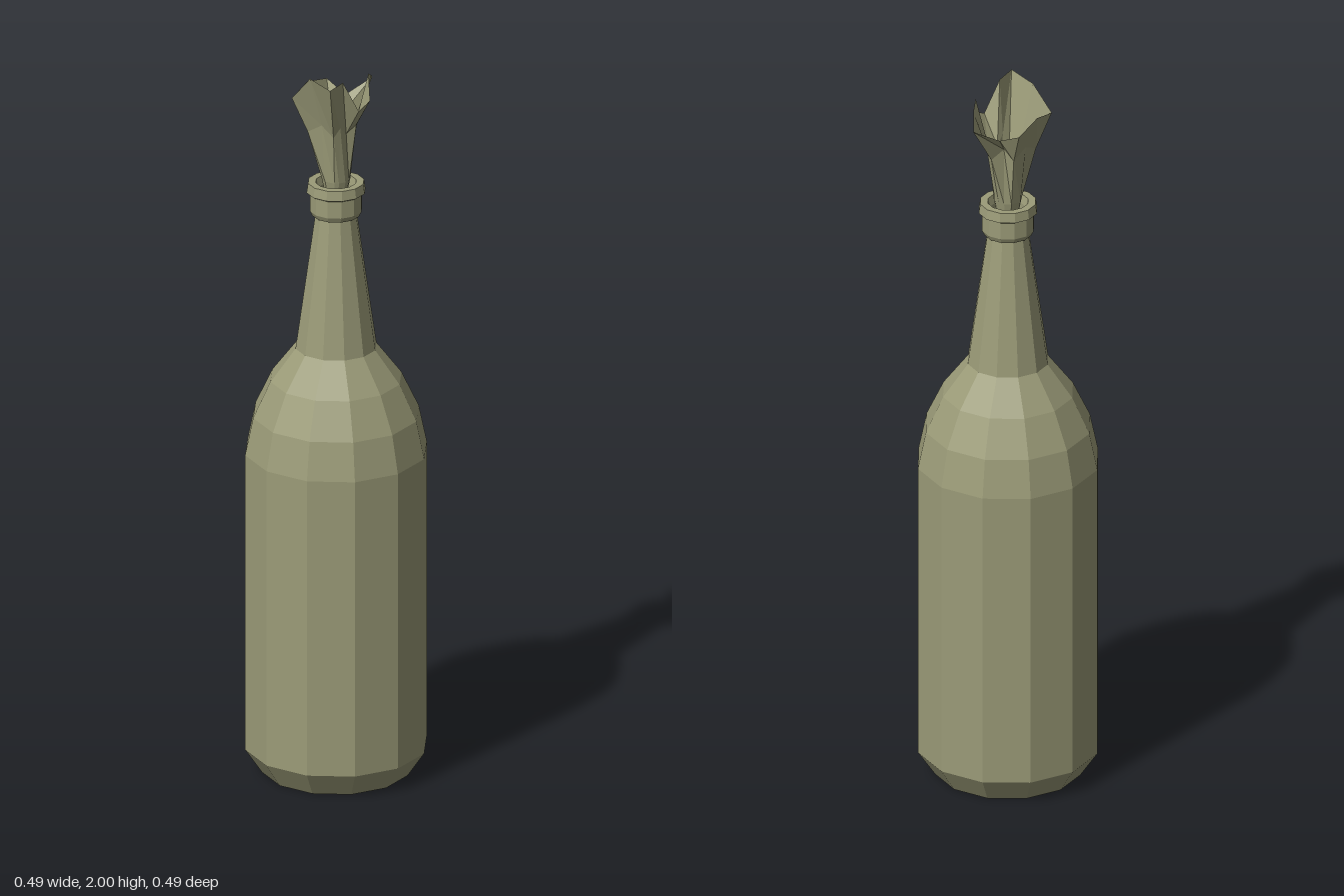
import * as THREE from 'three';

const SIDES = 12;

function material(color, side = THREE.FrontSide) {
  return new THREE.MeshStandardMaterial({ color, flatShading: true, side });
}

// Faceted turned part from [radius, height] pairs
function turned(name, profile, mat) {
  const points = profile.map(([r, y]) => new THREE.Vector2(r, y));
  const mesh = new THREE.Mesh(new THREE.LatheGeometry(points, SIDES), mat);
  mesh.name = name;
  return mesh;
}

// Skin stacked closed loops of points, with a cap on the first loop
function loft(loops) {
  const n = loops[0].length;
  const positions = loops.flat(2);
  const index = [];
  for (let j = 0; j < loops.length - 1; j++) {
    for (let i = 0; i < n; i++) {
      const a = j * n + i, b = j * n + (i + 1) % n;
      index.push(a, a + n, b, b, a + n, b + n);
    }
  }
  for (let i = 1; i < n - 1; i++) index.push(0, i + 1, i);
  const geometry = new THREE.BufferGeometry();
  geometry.setAttribute('position', new THREE.Float32BufferAttribute(positions, 3));
  geometry.setIndex(index);
  geometry.computeVertexNormals();
  return geometry;
}

// Crumpled rag flaring out of the mouth
function makeRag(mat) {
  // Rim corners: x, z, height, then how far out the fold below sits
  const rim = [
    [0.00, -0.12, 1.93, 0.52],
    [0.04, -0.07, 1.90, 0.50],
    [0.115, -0.08, 1.94, 0.48],
    [0.10, -0.02, 1.97, 0.62],
    [0.085, 0.015, 1.99, 0.55],
    [0.08, 0.06, 1.93, 0.60],
    [0.045, 0.08, 1.91, 0.45],
    [0.00, 0.09, 2.00, 0.62],
    [-0.045, 0.14, 2.00, 0.42],
    [-0.08, 0.045, 2.00, 0.55],
    [-0.12, 0.00, 1.93, 0.64],
    [-0.065, -0.06, 1.95, 0.60],
  ];
  const round = (radius, y) => rim.map(([x, z]) => {
    const d = radius / Math.hypot(x, z);
    return [x * d, y, z * d];
  });
  const folds = rim.map(([x, z, y, s], i) => [x * s, 1.83 + (i % 2) * 0.025, z * s]);
  const edge = rim.map(([x, z, y]) => [x, y, z]);
  // Points run clockwise from above, so reverse them to face outward
  const loops = [round(0.02, 1.60), round(0.038, 1.69), folds, edge];
  loops.forEach((loop) => loop.reverse());
  const mesh = new THREE.Mesh(loft(loops), mat);
  mesh.name = 'rag';
  return mesh;
}

export function createModel() {
  const group = new THREE.Group();
  group.name = 'bottleWithRag';
  const olive = 0x9b9b78;
  const glass = material(olive);

  // Base, body, shoulder and neck
  group.add(turned('bottle', [
    [0, 0], [0.2, 0], [0.247, 0.07], [0.247, 0.915], [0.225, 1.02],
    [0.178, 1.12], [0.11, 1.21], [0.055, 1.6],
  ], glass));

  // Collar and lip, turning inward to the mouth floor
  group.add(turned('lip', [
    [0.05, 1.59], [0.064, 1.588], [0.071, 1.602], [0.071, 1.65], [0.08, 1.655],
    [0.076, 1.682], [0.055, 1.682], [0.048, 1.66], [0.045, 1.6], [0, 1.6],
  ], glass));

  group.add(makeRag(material(olive, THREE.DoubleSide)));
  return group;
}
